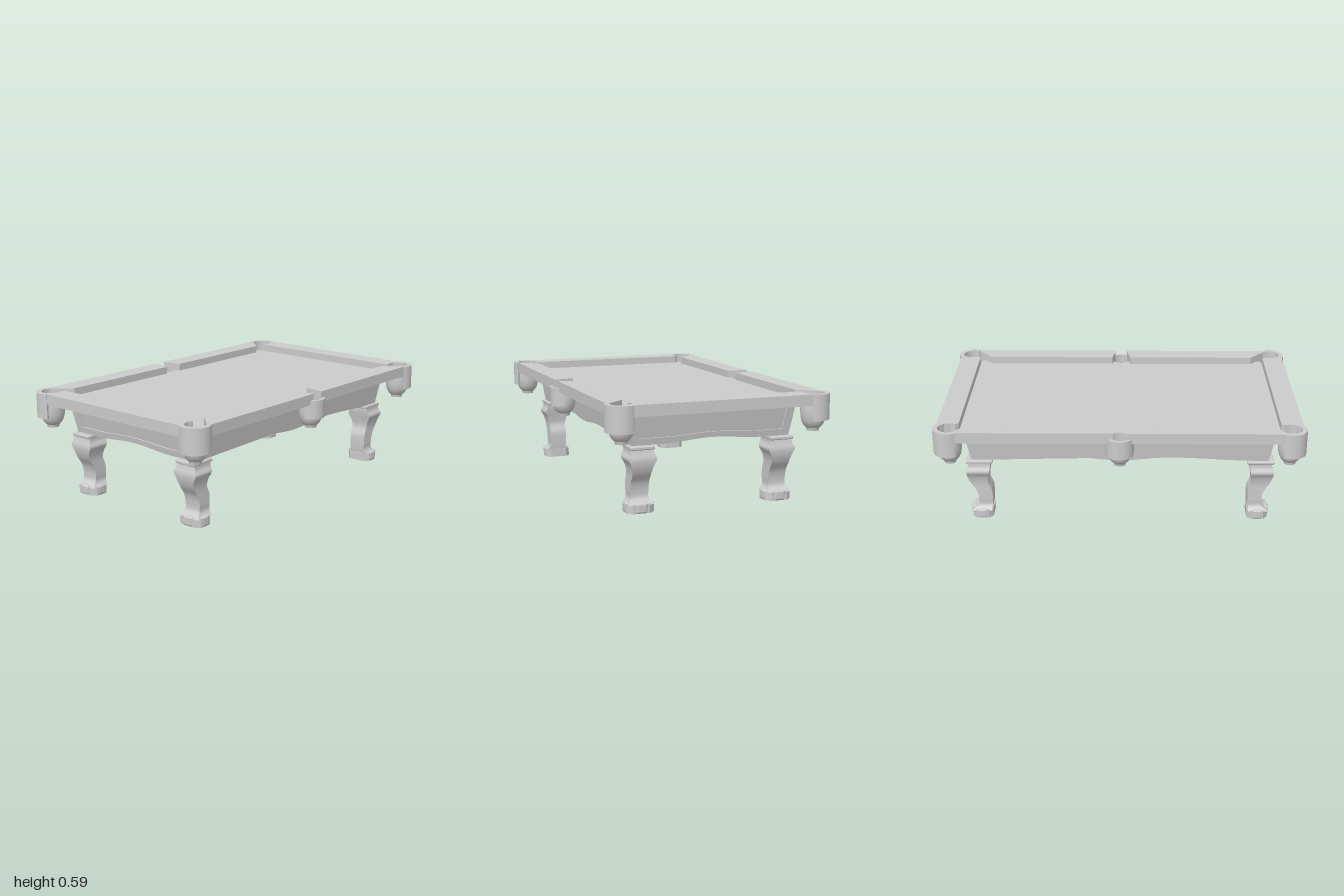
import * as THREE from 'three';
import { RoundedBoxGeometry } from 'three/addons/geometries/RoundedBoxGeometry.js';

const mat = new THREE.MeshStandardMaterial({ color: 0xcccccc, side: THREE.DoubleSide });
const SIGNS = [[1, 1], [-1, 1], [1, -1], [-1, -1]];

function add(parent, name, geometry, x = 0, y = 0, z = 0) {
  const mesh = new THREE.Mesh(geometry, mat);
  mesh.name = name;
  mesh.position.set(x, y, z);
  parent.add(mesh);
  return mesh;
}

// Plan outline in (x, z), extruded from y0 up to y1
function slab(shape, y0, y1) {
  const g = new THREE.ExtrudeGeometry(shape, { depth: y1 - y0, bevelEnabled: false, curveSegments: 20 });
  return g.rotateX(Math.PI / 2).translate(0, y1, 0);
}
const outline = (pts) => new THREE.Shape(pts.map(([x, y]) => new THREE.Vector2(x, y)));

// Curves of the lower apron edges
const endWave = (x) => (Math.abs(x) < 0.28 ? 0.018 * Math.cos(x / 0.28 * Math.PI / 2) ** 2 : 0);
function sideWave(z) {
  const a = Math.abs(z);
  if (a < 0.27) return 0.02 * Math.sin(a / 0.27 * Math.PI / 2) ** 2;
  return a < 0.76 ? 0.02 * Math.cos((a - 0.27) / 0.49 * Math.PI / 2) ** 2 : 0;
}

// Leaning apron wall with a recessed panel, facing +z
function apronWall(top, bottom, dist, slope, wave, panelTop, panelBottom, panelWave) {
  const wall = new THREE.Group();
  const edge = (half, y, w) => Array.from({ length: 41 }, (_, i) => {
    const u = -half + half * i / 20;
    return [u, y + w(u)];
  });
  const lean = (g) => {
    const p = g.attributes.position;
    for (let i = 0; i < p.count; i++) p.setZ(i, p.getZ(i) + (p.getY(i) - 0.53) * slope);
    g.computeVertexNormals();
    return g;
  };
  const frame = outline([...edge(bottom, 0.353, wave), [top, 0.535], [-top, 0.535]]);
  const panel = [...edge(panelBottom, 0.388, panelWave), [panelTop, 0.5], [-panelTop, 0.5]];
  frame.holes.push(outline(panel));
  const depth = (d) => ({ depth: d, bevelEnabled: false });
  add(wall, 'apronFrame', lean(new THREE.ExtrudeGeometry(frame, depth(0.02)).translate(0, 0, dist - 0.02)));
  add(wall, 'apronPanel', lean(new THREE.ExtrudeGeometry(outline(panel), depth(0.008)).translate(0, 0, dist - 0.018)));
  return wall;
}

// Pocket: turned cup with a curved outer sleeve; angles run from +x towards +z
function pocket(a0, a1, sleeveTop, outer) {
  const g = new THREE.Group();
  const cup = [[0, 0.405], [0.036, 0.405], [0.05, 0.418], [0.06, 0.438], [0.066, 0.465], [0.068, 0.5], [0.066, 0.535]];
  add(g, 'pocketCup', new THREE.LatheGeometry(cup.map(([x, y]) => new THREE.Vector2(x, y)), 32));
  add(g, 'pocketKnob', new THREE.CylinderGeometry(0.036, 0.032, 0.018, 24), 0, 0.399, 0);
  const s = new THREE.Shape();
  s.absarc(0, 0, outer, a0, a1, false);
  s.absarc(0, 0, 0.058, a1, a0, true);
  add(g, 'pocketSleeve', slab(s, 0.45, sleeveTop));
  return g;
}

// Four smooth strips joined at sharp corners, swept through [y, halfWidth, back, front]
function legShaft() {
  const stations = [[0.34, 0.062, -0.055, 0.06], [0.315, 0.064, -0.055, 0.066], [0.285, 0.076, -0.05, 0.075],
    [0.25, 0.06, -0.043, 0.072], [0.21, 0.051, -0.04, 0.058], [0.16, 0.05, -0.058, 0.027],
    [0.11, 0.05, -0.06, 0.016], [0.072, 0.05, -0.058, 0.02], [0.045, 0.07, -0.055, 0.055]];
  const spline = (k) => new THREE.CatmullRomCurve3(stations.map((s) => new THREE.Vector3(s[0], s[k], 0)));
  const curves = [spline(1), spline(2), spline(3)];
  const N = 48, pos = [], index = [];
  for (let side = 0; side < 4; side++) {
    const base = pos.length / 3;
    for (let i = 0; i <= N; i++) {
      const [w, b, f] = curves.map((c) => c.getPoint(i / N));
      const c = [[-w.y, f.y], [w.y, f.y], [w.y, b.y], [-w.y, b.y]];
      for (const [x, z] of [c[side], c[(side + 1) % 4]]) pos.push(x, w.x, z);
      if (i < N) {
        const k = base + i * 2;
        index.push(k, k + 2, k + 1, k + 1, k + 2, k + 3);
      }
    }
  }
  const g = new THREE.BufferGeometry();
  g.setAttribute('position', new THREE.Float32BufferAttribute(pos, 3));
  g.setIndex(index);
  g.computeVertexNormals();
  return g;
}

function makeLeg() {
  const leg = new THREE.Group();
  leg.name = 'leg';
  add(leg, 'legCap', new RoundedBoxGeometry(0.13, 0.02, 0.146, 2, 0.007), 0, 0.343, 0.003);
  add(leg, 'legShaft', legShaft());
  const foot = [[-0.05, -0.06], [0.05, -0.06], [0.074, -0.035], [0.074, 0.03], [0.045, 0.054], [-0.045, 0.054], [-0.074, 0.03], [-0.074, -0.035]];
  add(leg, 'foot', slab(outline(foot), 0, 0.049));
  // Rounded toes at the front and sides
  const toe = (name, w, d, x, z) => add(leg, name, new RoundedBoxGeometry(w, 0.055, d, 3, 0.012), x, 0.0275, z);
  toe('frontToe', 0.06, 0.04, 0, 0.042);
  for (const s of [1, -1]) toe('sideToe', 0.03, 0.055, s * 0.063, -0.002);
  return leg;
}

export function createModel() {
  const table = new THREE.Group();
  table.name = 'poolTable';
  const CX = 0.533, CZ = 0.915, R = 0.058, PI = Math.PI;

  // Playing bed, scooped out at the six pockets
  const bed = new THREE.Shape();
  bed.moveTo(CX, -CZ + R);
  bed.absarc(CX + 0.02, 0, 0.052, -PI / 2, PI / 2, true);
  bed.absarc(CX, CZ, R, -PI / 2, -PI, true);
  bed.absarc(-CX, CZ, R, 0, -PI / 2, true);
  bed.absarc(-CX - 0.02, 0, 0.052, PI / 2, -PI / 2, true);
  bed.absarc(-CX, -CZ, R, PI / 2, 0, true);
  bed.absarc(CX, -CZ, R, PI, PI / 2, true);
  add(table, 'bed', slab(bed, 0.525, 0.548));

  // Long rails, one piece on each side of the side pockets
  const long = [[0.485, 0.055], [0.583, 0.036], [0.6, 0.036], [0.6, 0.882], [0.578, 0.88], [0.553, 0.857], [0.485, 0.795]];
  for (const [sx, sz] of SIGNS) {
    add(table, 'longRail', slab(outline(long.map(([x, z]) => [x * sx, z * sz])), 0.53, 0.59));
    for (let i = 1; i < 4; i++) {
      add(table, 'railSight', new THREE.BoxGeometry(0.007, 0.002, 0.012), sx * 0.56, 0.59, sz * i * 0.21);
    }
  }

  // End rails
  const half = [[0.474, 0.866], [0.488, 0.882], [0.479, 0.91], [0.485, 0.945], [0.51, 0.967], [0.51, 0.985]];
  for (const s of [1, -1]) {
    const pts = [...half, ...half.map(([x, z]) => [-x, z]).reverse()];
    add(table, 'endRail', slab(outline(pts.map(([x, z]) => [x, z * s])), 0.53, 0.59));
  }

  // Corner pockets: sleeve wraps the outside of each corner
  for (const [sx, sz] of SIGNS) {
    const mid = Math.atan2(sz, sx);
    const p = pocket(mid - 1.3, mid + 1.3, 0.59, 0.085);
    p.name = 'cornerPocket';
    p.position.set(sx * CX, 0, sz * CZ);
    table.add(p);
  }
  // Side pockets
  for (const s of [1, -1]) {
    const mid = s > 0 ? 0 : PI;
    const p = pocket(mid - 1.4, mid + 1.4, 0.555, 0.076);
    p.name = 'sidePocket';
    p.position.set(s * 0.558, 0, 0);
    table.add(p);
  }

  // Apron walls
  for (const s of [0, 1]) {
    const end = apronWall(0.467, 0.443, 0.85, 0.2, endWave, 0.417, 0.402, (x) => endWave(x) * 0.7);
    end.name = 'endApron';
    end.rotation.y = s * PI;
    const side = apronWall(0.85, 0.815, 0.467, 0.137, sideWave, 0.785, 0.768, () => 0);
    side.name = 'sideApron';
    side.rotation.y = PI / 2 + s * PI;
    table.add(end, side);
  }

  // Wavy underside between the apron edges
  const under = new THREE.PlaneGeometry(0.88, 1.62, 30, 60).rotateX(PI / 2);
  const p = under.attributes.position;
  for (let i = 0; i < p.count; i++) {
    const x = p.getX(i), z = p.getZ(i);
    p.setY(i, 0.354 + sideWave(z) + endWave(x) * (z / 0.81) ** 2);
  }
  under.computeVertexNormals();
  add(table, 'underside', under);

  // Legs, bowed outward towards the ends
  for (const [sx, sz] of SIGNS) {
    const leg = makeLeg();
    leg.position.set(sx * 0.392, 0, sz * 0.77);
    leg.rotation.y = sz > 0 ? 0 : PI;
    table.add(leg);
  }
  return table;
}
